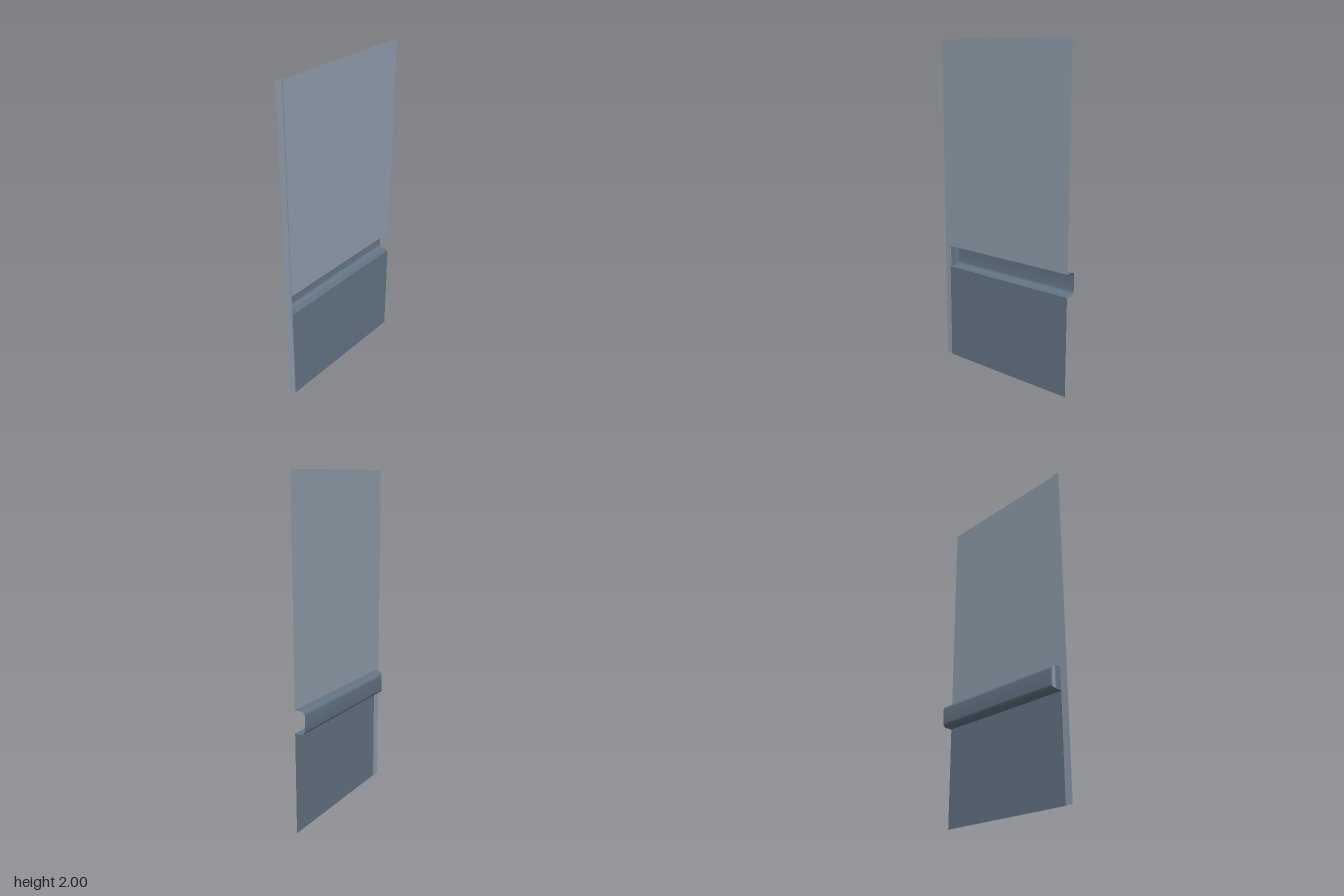
import * as THREE from 'three';
import { toCreasedNormals } from 'three/addons/utils/BufferGeometryUtils.js';

const LEFT = -0.43, RIGHT = 0.475, EDGE = -0.475; // panel ends and flange edge
const FRONT = 0.032, BACK = -0.033, FLANGE_Z = 0.025;
const LOW = 0.6, HIGH = 0.735, R = 0.025; // channel height range and fillet radius
const STEPS = 6;

// Recessed channel: closed and rounded at the low-x end, open at the other
function channelGeometry() {
  const section = [[LOW, FRONT]];
  const stations = [[LEFT, FRONT]];
  for (let i = 0; i <= STEPS; i++) {
    const t = (i / STEPS) * Math.PI / 2;
    const across = R * (1 - Math.cos(t)), depth = BACK + R * (1 - Math.sin(t));
    section.push([LOW + across, depth]);
    stations.push([LEFT + across, depth]);
  }
  section.push(...section.slice().reverse().map(([y, z]) => [LOW + HIGH - y, z]));
  stations.push([RIGHT, BACK]);

  const positions = [], index = [], n = section.length;
  stations.forEach(([x, floor], i) => {
    section.forEach(([y, z], j) => {
      positions.push(x, y, Math.max(z, floor)); // mitred where the end fillet meets the sides
      if (i && j) {
        const d = i * n + j, c = d - 1, b = d - n, a = b - 1;
        index.push(a, c, d, a, d, b);
      }
    });
  });
  const geometry = new THREE.BufferGeometry();
  geometry.setAttribute('position', new THREE.Float32BufferAttribute(positions, 3));
  geometry.setIndex(index);
  return toCreasedNormals(geometry, 0.7);
}

export function createModel() {
  const group = new THREE.Group();
  const makeMaterial = (name, color) => {
    const material = new THREE.MeshStandardMaterial({ color, side: THREE.DoubleSide });
    material.name = name;
    return material;
  };
  const light = makeMaterial('light grey blue', 0x8f9dab);
  const dark = makeMaterial('dark grey blue', 0x637484);

  const add = (name, geometry, material) => {
    const mesh = new THREE.Mesh(geometry, material);
    mesh.name = name;
    group.add(mesh);
    return mesh;
  };
  const sheet = (name, x0, x1, y0, y1, z, material) =>
    add(name, new THREE.PlaneGeometry(x1 - x0, y1 - y0), material)
      .position.set((x0 + x1) / 2, (y0 + y1) / 2, z);

  // Flat sheets
  sheet('upperPanel', LEFT, RIGHT, HIGH, 2, FRONT, light);
  sheet('lowerPanel', LEFT, RIGHT, 0, LOW, FRONT, dark);
  sheet('sideFlange', EDGE, LEFT, 0, 2, FLANGE_Z, light);

  // Narrow step joining the flange to the panels
  const step = add('flangeStep', new THREE.PlaneGeometry(FRONT - FLANGE_Z, 2), light);
  step.rotation.y = -Math.PI / 2;
  step.position.set(LEFT, 1, (FRONT + FLANGE_Z) / 2);

  add('recessedChannel', channelGeometry(), dark);
  return group;
}
